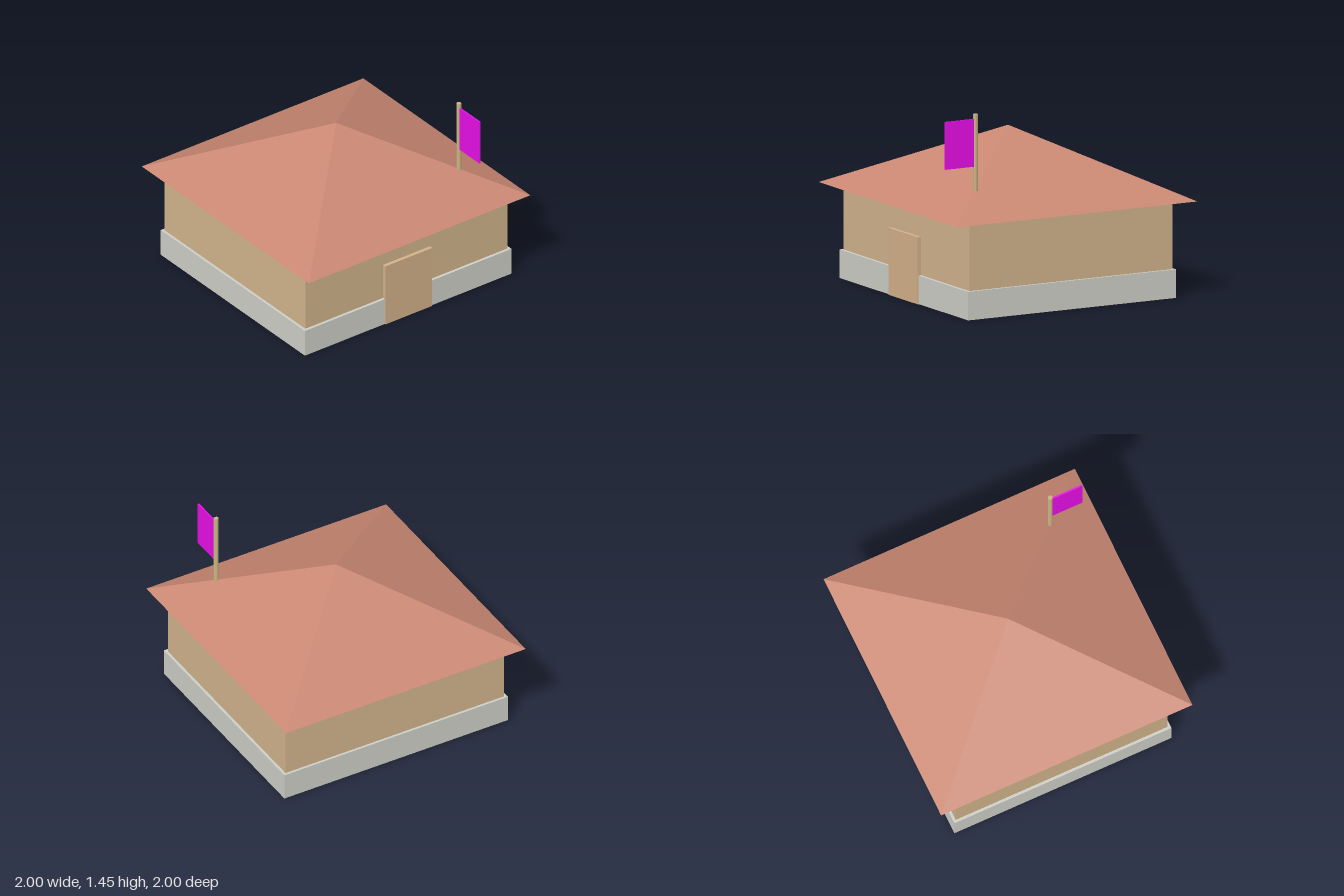
import * as THREE from 'three';

const flat = (color, name) => {
  const m = new THREE.MeshStandardMaterial({ color });
  m.name = name;
  return m;
};

export function createModel() {
  const tan = flat(0xd2b48c, 'wall tan');
  const doorTan = flat(0xd4b189, 'door tan');
  const grey = flat(0xcfcfc8, 'stone grey');
  const clay = flat(0xc98772, 'roof clay');
  const wood = flat(0xccb484, 'pole wood');
  const magenta = flat(0xf010f0, 'flag magenta');

  const model = new THREE.Group();
  model.name = 'house';
  const add = (name, geometry, material, x, y, z) => {
    const mesh = new THREE.Mesh(geometry, material);
    mesh.name = name;
    mesh.position.set(x, y, z);
    model.add(mesh);
    return mesh;
  };
  // Box given by its lower and upper corners
  const box = (name, material, [x0, y0, z0], [x1, y1, z1]) =>
    add(name, new THREE.BoxGeometry(x1 - x0, y1 - y0, z1 - z0), material,
      (x0 + x1) / 2, (y0 + y1) / 2, (z0 + z1) / 2);

  // Body: the walls run through the foundation to the ground
  box('walls', tan, [-0.912, 0, -0.843], [0.912, 0.708, 0.843]);
  box('foundation', grey, [-0.932, 0.002, -0.862], [0.932, 0.212, 0.865]);
  box('door', doorTan, [-0.212, 0, 0.80], [0.212, 0.492, 0.871]);

  // Four-sided hipped roof with a closed underside
  const roof = new THREE.ConeGeometry(Math.SQRT2, 0.492, 4, 1).rotateY(Math.PI / 4).toNonIndexed();
  roof.computeVertexNormals();
  add('roof', roof, clay, 0, 0.954, 0);

  // Flagpole standing on the front left hip, flag pointing forward
  const pole = new THREE.CylinderGeometry(0.018, 0.018, 0.565, 8).toNonIndexed();
  pole.computeVertexNormals();
  add('flagpole', pole, wood, 0.632, 1.1625, 0.632);
  box('flag', magenta, [0.626, 1.06, 0.64], [0.638, 1.41, 0.885]);

  return model;
}
